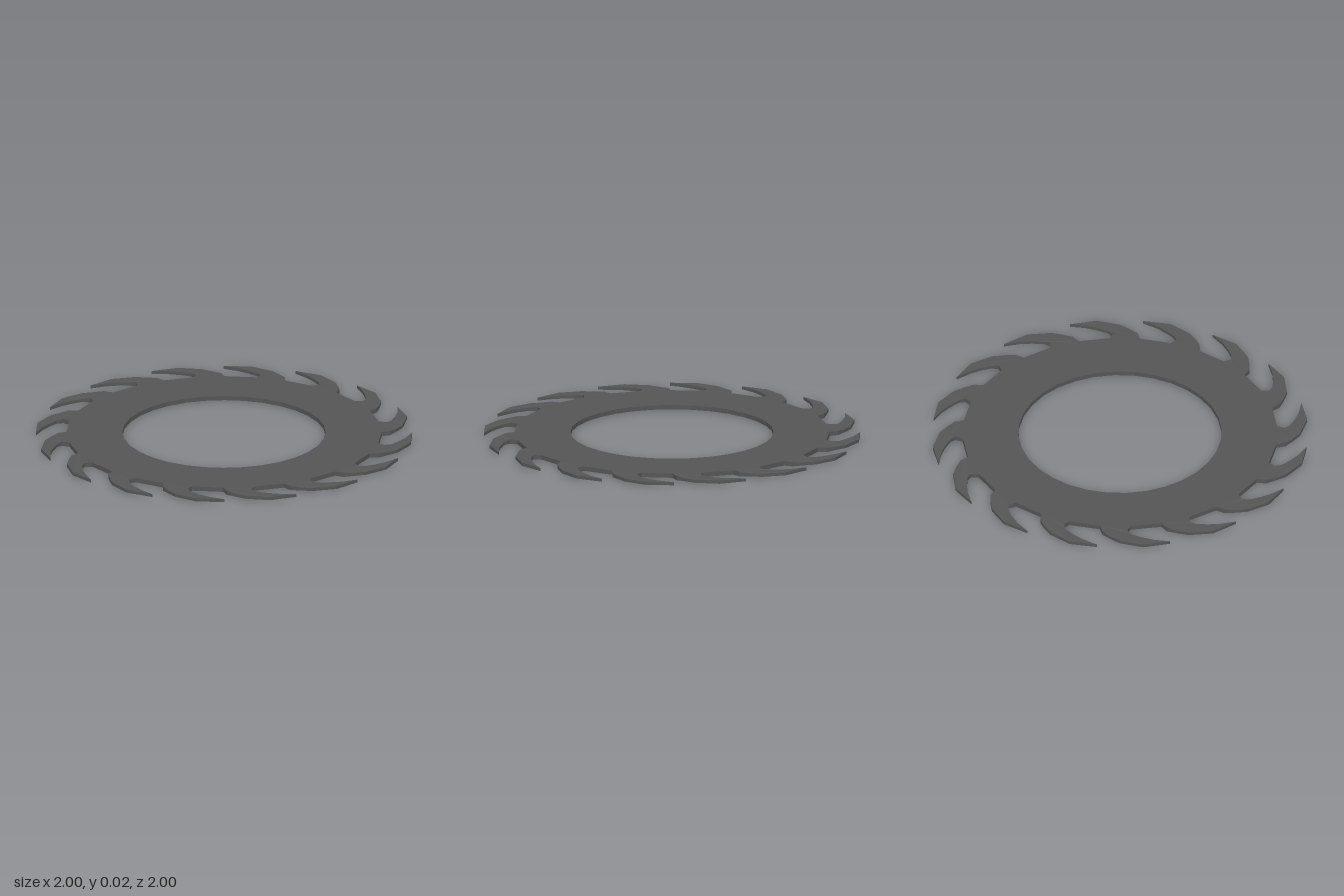
import * as THREE from 'three';

const TEETH = 16;
const THICKNESS = 0.024;
const BORE = 0.54;

// One hooked tooth: gullet, inner edge, tip, outer edge, heel
const TOOTH = [
  [0.162, 0.821], [0.188, 0.855], [0.17, 0.89], [0.123, 0.93], [0.07, 0.965],
  [-0.01, 1.0],
  [0.137, 0.993], [0.25, 0.925], [0.293, 0.868], [0.317, 0.825], [0.317, 0.775],
];

export function createModel() {
  const group = new THREE.Group();
  const steel = new THREE.MeshStandardMaterial({ color: 0x555555 });
  steel.name = 'dark steel';

  // Toothed outline, repeated clockwise around the ring
  const outline = [];
  const centre = new THREE.Vector2();
  for (let i = 0; i < TEETH; i++) {
    for (const [x, y] of TOOTH) {
      outline.push(new THREE.Vector2(x, y).rotateAround(centre, -i * 2 * Math.PI / TEETH));
    }
  }
  const shape = new THREE.Shape(outline);

  // Round 32-sided bore
  const bore = [];
  for (let i = 0; i < 32; i++) {
    const a = i * Math.PI / 16;
    bore.push(new THREE.Vector2(BORE * Math.cos(a), BORE * Math.sin(a)));
  }
  shape.holes.push(new THREE.Path(bore));

  const geometry = new THREE.ExtrudeGeometry(shape, { depth: THICKNESS, bevelEnabled: false });
  geometry.rotateX(-Math.PI / 2);

  // Thin the tooth ends slightly about the middle plane
  const p = geometry.attributes.position;
  for (let i = 0; i < p.count; i++) {
    if (Math.hypot(p.getX(i), p.getZ(i)) > 0.9) {
      p.setY(i, THICKNESS / 2 + (p.getY(i) - THICKNESS / 2) * 0.7);
    }
  }
  geometry.computeVertexNormals();

  const blade = new THREE.Mesh(geometry, steel);
  blade.name = 'toothedRingBlade';
  group.add(blade);
  return group;
}
